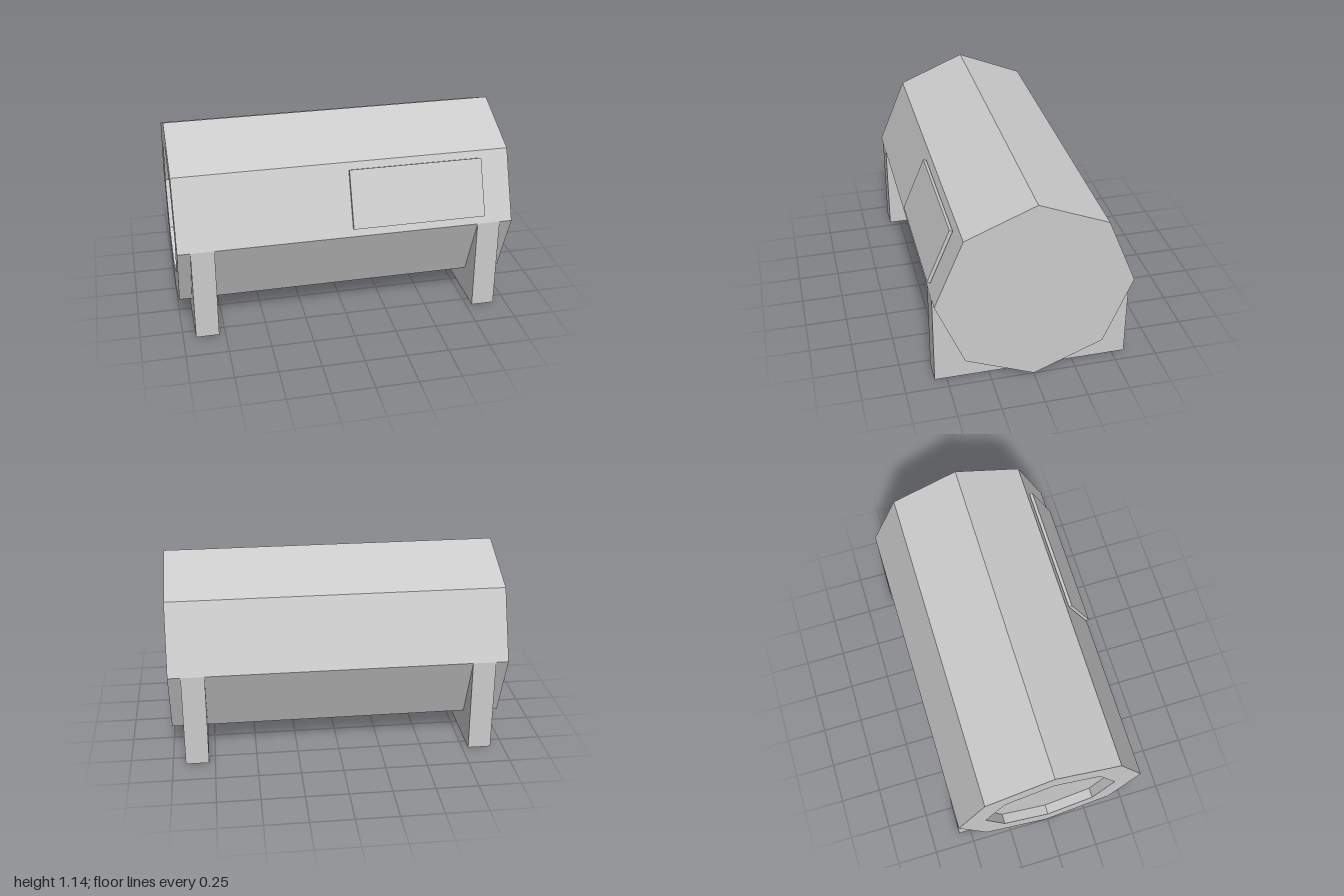
import * as THREE from 'three';

const R = 0.5725;      // drum corner radius
const Z = -0.003;      // drum axis offset
const SIDES = 8;

export function createModel() {
  const model = new THREE.Group();
  const solid = new THREE.MeshStandardMaterial({ color: 0xcccccc, flatShading: true });
  const thin = new THREE.MeshStandardMaterial({ color: 0xcccccc, flatShading: true, side: THREE.DoubleSide });

  const add = (name, geometry, material) => {
    const mesh = new THREE.Mesh(geometry, material);
    mesh.name = name;
    model.add(mesh);
    return mesh;
  };

  // Octagonal drum lying along x, with a shallow recess in its -x end
  const profile = [[0, -0.94], [0.405, -0.94], [0.405, -1], [R, -1], [R, 1], [0, 1]]
    .map(([r, h]) => new THREE.Vector2(r, h));
  const drum = new THREE.LatheGeometry(profile, SIDES);
  drum.rotateZ(-Math.PI / 2);
  add('drum', drum, solid).position.set(0, R, Z);

  // Hollow cradle legs, open underneath
  for (const side of [-1, 1]) {
    const leg = new THREE.CylinderGeometry(Math.SQRT1_2, Math.SQRT1_2, 1, 4, 1, true);
    leg.rotateY(Math.PI / 4);
    leg.scale(0.138, R, 2 * R);
    add(side < 0 ? 'rightLeg' : 'leftLeg', leg, thin).position.set(side * 0.856, R / 2, Z);
  }

  // Thin panel floating just off the upper front facet
  const tilt = Math.PI / 8;
  const panel = add('panel', new THREE.BoxGeometry(0.8, 0.348, 0.02), solid);
  panel.rotation.x = -tilt;
  panel.position.set(0.427, R + 0.544 * Math.sin(tilt), Z + 0.544 * Math.cos(tilt));

  return model;
}
